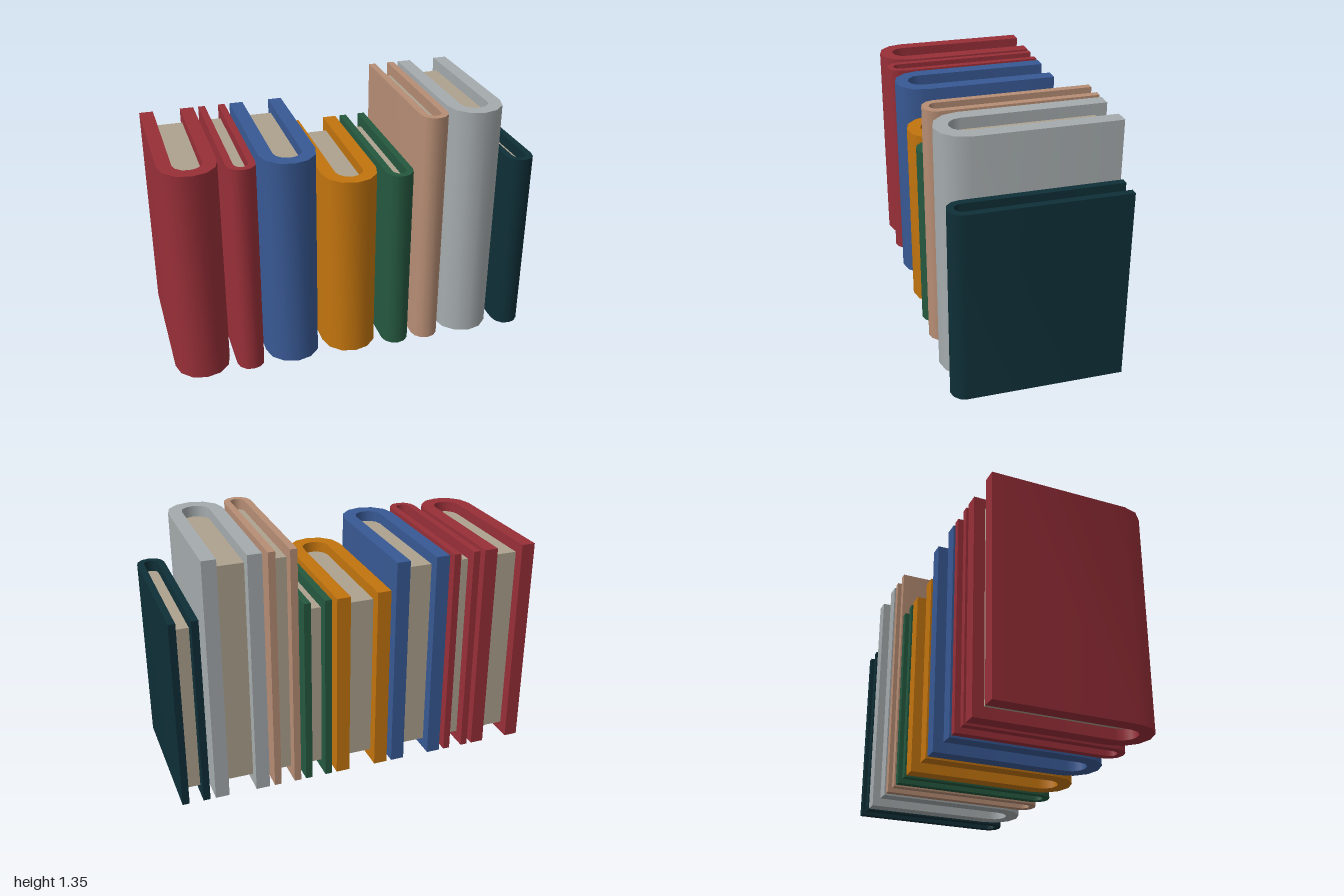
import * as THREE from 'three';
import { toCreasedNormals } from 'three/addons/utils/BufferGeometryUtils.js';

const BACK = -0.447, FRONT = 0.447, INSET = 0.06, GAP = 0.2 / 7;
const WIDE = 0.3, NARROW = 0.15;

function material(name, color) {
  const m = new THREE.MeshStandardMaterial({ color });
  m.name = name;
  return m;
}

// Raises a floor-plan shape (shape y is world z) into an upright solid
function upright(shape, bottom, top) {
  const g = new THREE.ExtrudeGeometry(shape, { depth: top - bottom, bevelEnabled: false, curveSegments: 3 });
  g.rotateX(Math.PI / 2);
  g.translate(0, top, 0);
  return toCreasedNormals(g, 0.7);
}

function createBook(width, height, coverMaterial, pageMaterial) {
  const book = new THREE.Group();
  const r = width / 2, inner = r / 2, arcZ = FRONT - r;

  // Cover: two boards joined by a round spine
  const cover = new THREE.Shape();
  cover.moveTo(r, BACK);
  cover.lineTo(r, arcZ);
  cover.absarc(0, arcZ, r, 0, Math.PI, false);
  cover.lineTo(-r, BACK);
  cover.lineTo(-inner, BACK);
  cover.lineTo(-inner, arcZ);
  cover.absarc(0, arcZ, inner, Math.PI, 0, true);
  cover.lineTo(inner, BACK);
  cover.closePath();
  const coverMesh = new THREE.Mesh(upright(cover, 0, height), coverMaterial);
  coverMesh.name = 'cover';

  // Page block, set in from the cover edges
  const pages = new THREE.Shape();
  pages.moveTo(inner, BACK + INSET);
  pages.lineTo(inner, arcZ);
  pages.absarc(0, arcZ, inner, 0, Math.PI, false);
  pages.lineTo(-inner, BACK + INSET);
  pages.closePath();
  const pageMesh = new THREE.Mesh(upright(pages, INSET, height - INSET), pageMaterial);
  pageMesh.name = 'pages';

  book.add(coverMesh, pageMesh);
  return book;
}

export function createModel() {
  const row = new THREE.Group();
  row.name = 'bookRow';

  const paper = material('paper', 0xaea28f);
  const red = material('red', 0x982f38);
  const blue = material('blue', 0x385994);
  const orange = material('orange', 0xc2740e);
  const green = material('green', 0x25583f);
  const tan = material('tan', 0xb68d74);
  const gray = material('gray', 0xa5abad);
  const teal = material('teal', 0x0e2f37);

  // Books from the model's right to its left
  const books = [
    ['wideRedBook', WIDE, 1.195, red],
    ['narrowRedBook', NARROW, 1.195, red],
    ['blueBook', WIDE, 1.195, blue],
    ['orangeBook', WIDE, 1.045, orange],
    ['greenBook', NARROW, 1.045, green],
    ['tanBook', NARROW, 1.345, tan],
    ['grayBook', WIDE, 1.345, gray],
    ['tealBook', NARROW, 1.045, teal],
  ];

  let x = -1;
  for (const [name, width, height, mat] of books) {
    const book = createBook(width, height, mat, paper);
    book.name = name;
    book.position.x = x + width / 2;
    row.add(book);
    x += width + GAP;
  }
  return row;
}
